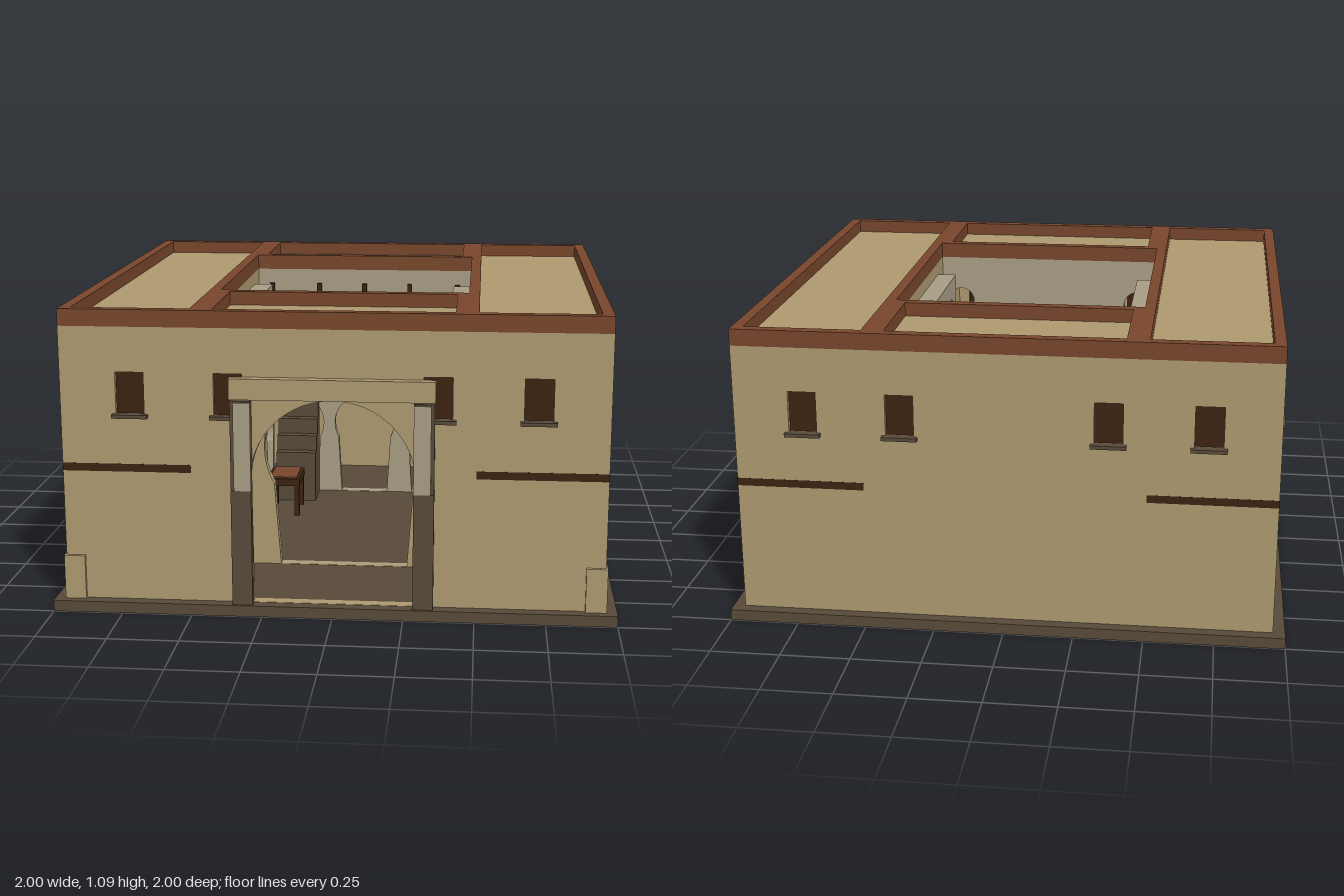
import * as THREE from 'three';

const mat = (name, color) => {
  const m = new THREE.MeshStandardMaterial({ color });
  m.name = name;
  return m;
};

export function createModel() {
  const sand = mat('sandstone', 0xae9a70);
  const pale = mat('pale plaster', 0xa99e86);
  const clay = mat('terracotta', 0x78462c);
  const wood = mat('dark wood', 0x3c2210);
  const stone = mat('dark stone', 0x584a39);
  const root = new THREE.Group();
  root.name = 'courtyardHouse';
  const W = 0.957, T = 0.04, G = 0.04;

  const add = (name, geo, material, parent = root) => {
    const m = new THREE.Mesh(geo, material);
    m.name = name;
    parent.add(m);
    return m;
  };
  // Box given by its lower and upper limits
  const box = (name, material, x0, x1, y0, y1, z0, z1, parent = root) => {
    const m = add(name, new THREE.BoxGeometry(x1 - x0, y1 - y0, z1 - z0), material, parent);
    m.position.set((x0 + x1) / 2, (y0 + y1) / 2, (z0 + z1) / 2);
    return m;
  };
  // Horseshoe opening: narrow neck below a round head
  const horseshoe = (cx, y0, neck, cy, r, a = 0.5) => {
    const p = new THREE.Path();
    p.moveTo(cx - neck, y0);
    p.lineTo(cx - r * Math.cos(a), cy - r * Math.sin(a));
    p.absarc(cx, cy, r, Math.PI + a, -a, true);
    p.lineTo(cx + neck, y0);
    p.closePath();
    return p;
  };
  const rectHole = (x0, x1, y0, y1) => new THREE.Path([
    [x0, y0], [x0, y1], [x1, y1], [x1, y0]].map(([x, y]) => new THREE.Vector2(x, y)));
  // Upright wall with holes, from z = 0 to z = depth
  const panel = (half, y0, y1, depth, holes) => {
    const s = new THREE.Shape([[-half, y0], [half, y0], [half, y1], [-half, y1]]
      .map(([x, y]) => new THREE.Vector2(x, y)));
    s.holes = holes;
    return new THREE.ExtrudeGeometry(s, { depth, bevelEnabled: false, curveSegments: 16 });
  };

  box('basePlinth', stone, -1, 1, 0, G, -1, 1);

  // Outer walls with recessed windows and sills
  const outerWall = (name, angle, half, xs, extra = []) => {
    const g = new THREE.Group();
    g.name = name;
    g.rotation.y = angle;
    const holes = xs.map(x => rectHole(x - 0.05, x + 0.05, 0.72, 0.87));
    add('wall', panel(half, G, 1.03, T, [...holes, ...extra]), sand, g).position.z = W - T;
    for (const x of xs) {
      box('windowShutter', wood, x - 0.05, x + 0.05, 0.72, 0.87, W - 0.025, W - 0.017, g);
      box('windowSill', stone, x - 0.063, x + 0.063, 0.708, 0.721, W - 0.01, W + 0.022, g);
    }
    root.add(g);
  };
  const endWindows = [-0.71, -0.365, 0.365, 0.71];
  const sideWindows = [-0.62, -0.31, 0, 0.31, 0.62];
  const gate = horseshoe(0, G + 0.001, 0.285, 0.49, 0.29, 0);
  outerWall('frontWall', 0, W, endWindows, [gate]);
  outerWall('backWall', Math.PI, W, endWindows);
  outerWall('leftWall', Math.PI / 2, W - T, sideWindows);
  outerWall('rightWall', -Math.PI / 2, W - T, sideWindows);

  // Roofs of the four wings, each with its own parapet
  const wings = [
    ['leftWing', 0.46, W, -W, W], ['rightWing', -W, -0.46, -W, W],
    ['frontWing', -0.46, 0.46, 0.49, W], ['backWing', -0.46, 0.46, -W, -0.49]];
  for (const [name, x0, x1, z0, z1] of wings) {
    const g = new THREE.Group();
    g.name = name + 'Roof';
    root.add(g);
    box('roof', sand, x0 + 0.01, x1 - 0.01, 0.99, 1.04, z0 + 0.01, z1 - 0.01, g);
    for (const [a, b] of [[x0, x0 + T], [x1 - T, x1]])
      box('parapet', clay, a, b, 1.03, 1.09, z0, z1, g);
    for (const [a, b] of [[z0, z0 + T], [z1 - T, z1]])
      box('parapet', clay, x0 + T, x1 - T, 1.03, 1.09, a, b, g);
  }

  // Walls between the wings and upper floors showing as a thin band outside
  const e = 0.0006;
  for (const s of [-1, 1]) {
    const span = (a, b) => (s > 0 ? [a, b] : [-b, -a]);
    box('innerWall', sand, ...span(0.46, 0.5), G, 1.03, -W + T, W - T);
    box('upperFloor', wood, ...span(0.5, W + e), 0.512, 0.54, -W - e, W + e);
    box('cornerFoot', sand, ...span(0.888, 0.963), G, 0.2, 0.9, 0.97);
  }
  box('backFloor', wood, -0.46, 0.46, 0.512, 0.54, -W + T, -0.48);

  // Back arcade: three arches below, four above
  const backHoles = [-0.31, 0, 0.31].map(x => horseshoe(x, G + 0.001, 0.1, 0.35, 0.13));
  for (const x of [-0.36, -0.13, 0.13, 0.36]) backHoles.push(horseshoe(x, 0.545, 0.06, 0.82, 0.08));
  add('backArcade', panel(0.46, G, 1.03, T, backHoles), pale).position.z = -0.53;

  // Front arcade: plaster on the court side, sandstone toward the gate
  const frontHoles = () => [horseshoe(0, G + 0.001, 0.24, 0.5, 0.3),
    ...[-0.38, 0.38].map(x => horseshoe(x, 0.62, 0.035, 0.84, 0.055))];
  add('frontArcade', panel(0.46, G, 1.03, 0.02, frontHoles()), pale).position.z = 0.49;
  add('frontArcadeBack', panel(0.46, G, 1.03, 0.02, frontHoles()), sand).position.z = 0.51;

  // Side arcades with railings
  for (const s of [-1, 1]) {
    const holes = [];
    for (const z of [-0.25, 0, 0.25]) {
      holes.push(horseshoe(z, G + 0.001, 0.075, 0.35, 0.1));
      holes.push(horseshoe(z, 0.545, 0.06, 0.82, 0.08));
    }
    const arcade = add(s > 0 ? 'leftArcade' : 'rightArcade', panel(0.377, G, 0.98, 0.075, holes), pale);
    arcade.rotation.y = Math.PI / 2;
    arcade.position.x = s > 0 ? 0.385 : -0.46;
    const x = s * 0.4;
    box('sideRail', wood, x - 0.01, x + 0.01, 0.715, 0.738, -0.37, 0.37);
  }

  // Back gallery rail and posts
  box('galleryRail', wood, -0.46, 0.46, 0.715, 0.738, -0.488, -0.47);
  for (const x of [-0.4, -0.195, 0, 0.195, 0.4])
    box('galleryPost', wood, x - 0.01, x + 0.01, 0.54, 0.97, -0.492, -0.474);

  // Stair in the back corner of the court
  for (let i = 0; i < 4; i++)
    box('stairStep', stone, -0.37, -0.2, G, 0.45 - i * 0.065, -0.49 + i * 0.0425, -0.4475 + i * 0.0425);

  // Low tables and long handles in the court
  for (const s of [-1, 1]) {
    const x = s * 0.31, b = s * 0.355;
    box('tableFrame', wood, x - 0.068, x + 0.068, 0.17, 0.2, -0.28, -0.09);
    box('tableTop', clay, x - 0.055, x + 0.055, 0.2, 0.206, -0.267, -0.103);
    for (const dx of [-0.055, 0.055])
      for (const z of [-0.265, -0.105])
        box('tableLeg', wood, x + dx - 0.01, x + dx + 0.01, G, 0.17, z - 0.01, z + 0.01);
    box('handle', wood, b - 0.008, b + 0.008, 0.2, 0.22, -0.01, 0.17);
    box('handlePost', wood, b - 0.013, b + 0.013, G, 0.23, 0.165, 0.191);
  }

  // Gate posts and lintel
  for (const s of [-1, 1]) {
    const span = (a, b) => (s > 0 ? [a, b] : [-b, -a]);
    box('gatePost', stone, ...span(0.283, 0.355), G, 0.78, W, 0.985);
    box('gatePostFoot', stone, ...span(0.283, 0.355), G, 0.46, 0.985, 0.991);
    box('gatePostFacing', pale, ...span(0.283, 0.343), 0.46, 0.775, 0.985, 0.993);
  }
  box('gateLintel', sand, -0.357, 0.357, 0.786, 0.86, W, 0.992);
  return root;
}
